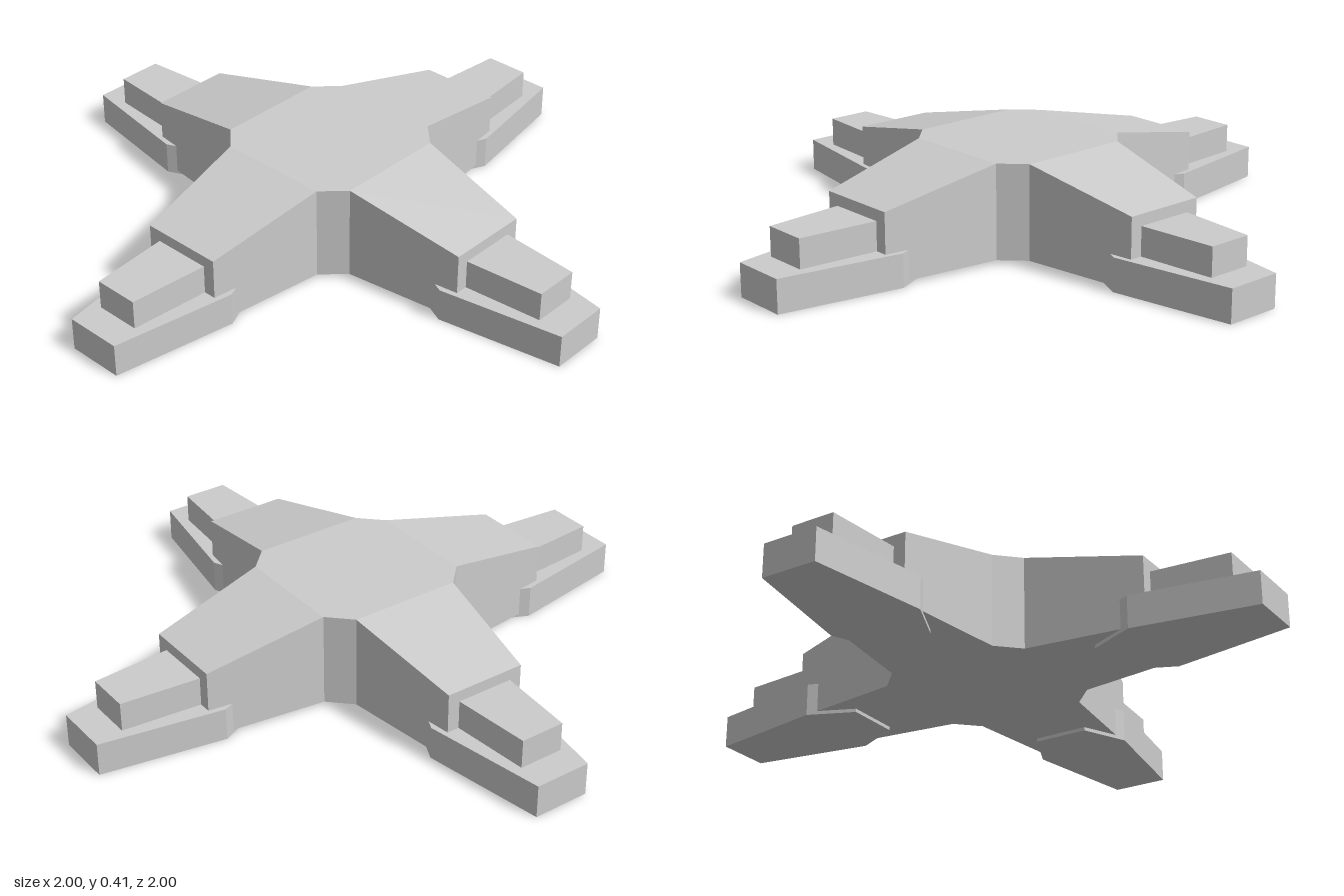
import * as THREE from 'three';

const material = new THREE.MeshStandardMaterial({ color: 0xcccccc, flatShading: true });

// Upright prism over a plan outline of [x, z] points
function prism(name, outline, bottom, top) {
  const shape = new THREE.Shape(outline.map(([x, z]) => new THREE.Vector2(x, -z)));
  const geometry = new THREE.ExtrudeGeometry(shape, { depth: top - bottom, bevelEnabled: false });
  geometry.rotateX(-Math.PI / 2).translate(0, bottom, 0);
  const mesh = new THREE.Mesh(geometry, material);
  mesh.name = name;
  return mesh;
}

// Completes an outline by mirroring it across the diagonal x = z
const mirrored = (half) => [...half, ...half.map(([x, z]) => [z, x]).reverse()];

// Sloping arm: the roof drops toward the outer end
function createArm() {
  const arm = prism('arm', mirrored([[0.405, 0.065], [0.715, 0.465]]), 0.015, 0.415);
  const p = arm.geometry.attributes.position;
  for (let i = 0; i < p.count; i++) {
    if (p.getY(i) > 0.2 && p.getX(i) + p.getZ(i) > 1) p.setY(i, 0.31);
  }
  arm.geometry.computeVertexNormals();
  return arm;
}

export function createModel() {
  const model = new THREE.Group();
  model.name = 'fourArmedBase';

  // Central octagonal hub
  const hub = [];
  for (const [x, z] of [[0.405, -0.065], [0.405, 0.065], [0.065, 0.405], [-0.065, 0.405]]) hub.push([x, z]);
  hub.push(...hub.map(([x, z]) => [-x, -z]));
  model.add(prism('hub', hub, 0.015, 0.415));

  // Four legs, each an arm with a stepped foot
  for (let i = 0; i < 4; i++) {
    const leg = new THREE.Group();
    leg.name = 'leg' + (i + 1);
    leg.add(
      createArm(),
      prism('footPad', mirrored([[0.495, 0.325], [0.695, 0.4], [1, 0.83]]), 0, 0.14),
      prism('footStep', mirrored([[0.6, 0.41], [0.895, 0.76]]), 0.14, 0.262)
    );
    leg.rotation.y = (i * Math.PI) / 2;
    model.add(leg);
  }
  return model;
}
